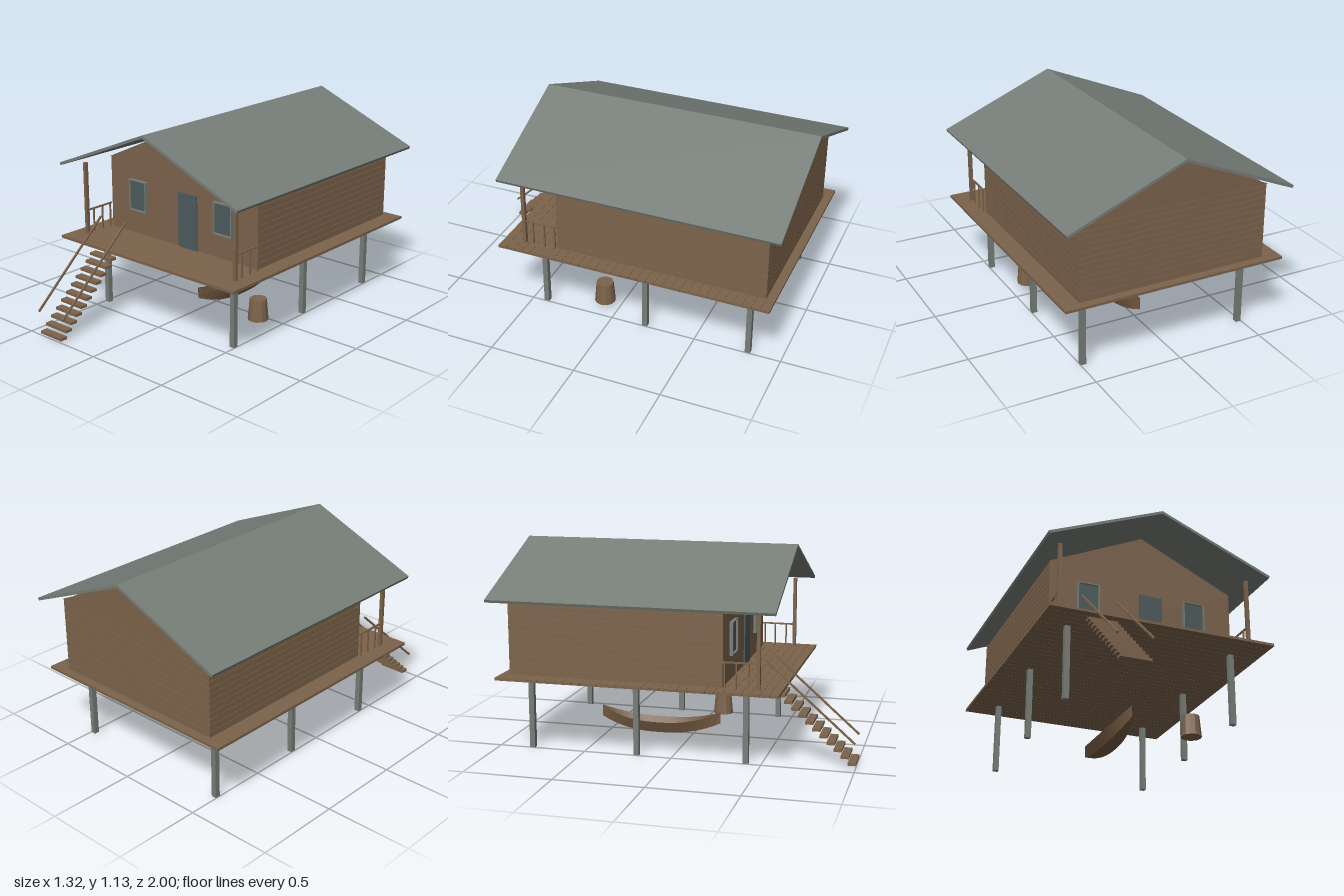
import * as THREE from 'three';

export function createModel() {
  const root = new THREE.Group();
  const mat = (name, color, side = THREE.FrontSide) => {
    const m = new THREE.MeshStandardMaterial({ color, side });
    m.name = name;
    return m;
  };
  const wood = mat('wood', 0x7c634b);
  const grey = mat('grey metal', 0x767d77);
  const glass = mat('dark teal', 0x4b5a5b);
  const shell = mat('hull wood', 0x745a42, THREE.DoubleSide);

  const add = (name, geo, material, parent = root) => {
    const mesh = new THREE.Mesh(geo, material);
    mesh.name = name;
    parent.add(mesh);
    return mesh;
  };
  // Box given by its extents on each axis
  const box = (name, x0, x1, y0, y1, z0, z1, material = wood, parent = root) => {
    const m = add(name, new THREE.BoxGeometry(x1 - x0, y1 - y0, z1 - z0), material, parent);
    m.position.set((x0 + x1) / 2, (y0 + y1) / 2, (z0 + z1) / 2);
    return m;
  };
  const group = (name) => {
    const g = new THREE.Group();
    g.name = name;
    root.add(g);
    return g;
  };
  // Outline in x and y, extruded along z
  const extrude = (name, pts, z0, z1, material) => {
    const shape = new THREE.Shape(pts.map(([x, y]) => new THREE.Vector2(x, y)));
    const geo = new THREE.ExtrudeGeometry(shape, { depth: z1 - z0, bevelEnabled: false });
    return add(name, geo.translate(0, 0, z0), material);
  };

  // Deck boards
  const deck = group('deck');
  const boards = 32, pitch = 1.58 / boards;
  for (let i = 0; i < boards; i++) {
    const z = -0.96 + i * pitch;
    box('deckBoard', -0.65, 0.65, 0.415, 0.43, z, z + pitch - 0.0015, wood, deck);
  }

  // Stilts
  const stilts = group('stilts');
  for (const x of [-0.483, 0.483])
    for (const z of [0.415, -0.2, -0.81])
      box('stilt', x - 0.015, x + 0.015, 0, 0.415, z - 0.015, z + 0.015, grey, stilts);

  // Plain front wall, boarded side and back walls
  box('frontWall', -0.55, 0.55, 0.43, 0.855, 0.288, 0.3);
  const siding = group('siding');
  const rows = 12, rowHeight = 0.425 / rows;
  for (let i = 0; i < rows; i++) {
    const y0 = 0.43 + i * rowHeight, y1 = y0 + rowHeight - 0.002;
    box('backBoard', -0.55, 0.55, y0, y1, -0.912, -0.9, wood, siding);
    for (const s of [-1, 1])
      box('sideBoard', s * 0.544 - 0.006, s * 0.544 + 0.006, y0, y1, -0.9, 0.288, wood, siding);
  }

  // Gables
  const gable = [[-0.56, 0.855], [0.56, 0.855], [0, 1.118]];
  extrude('frontGable', gable, 0.288, 0.3, wood);
  extrude('backGable', gable, -0.912, -0.9, wood);

  // Pitched roof
  extrude('roof', [
    [0, 1.135], [-0.66, 0.862], [-0.654, 0.847],
    [0, 1.118], [0.654, 0.847], [0.66, 0.862],
  ], -1, 0.6, grey);

  // Door and windows
  box('door', -0.018, 0.12, 0.43, 0.75, 0.3, 0.308, glass);
  for (const x of [-0.325, 0.315]) {
    const w = group('window');
    box('pane', x - 0.06, x + 0.06, 0.574, 0.75, 0.3, 0.308, glass, w);
    for (const s of [-1, 1])
      box('windowSide', x + s * 0.062 - 0.004, x + s * 0.062 + 0.004, 0.568, 0.754, 0.3, 0.32, grey, w);
    box('sill', x - 0.058, x + 0.058, 0.568, 0.576, 0.3, 0.32, grey, w);
    box('lintel', x - 0.058, x + 0.058, 0.748, 0.754, 0.3, 0.32, grey, w);
  }

  // Porch posts and side railings
  for (const s of [-1, 1]) {
    const porch = group('porchSide');
    const x = s * 0.56;
    box('porchPost', x - 0.01, x + 0.01, 0.43, 0.858, 0.485, 0.505, wood, porch);
    box('railing', x - 0.004, x + 0.004, 0.566, 0.575, 0.3, 0.485, wood, porch);
    for (const z of [0.312, 0.375, 0.443])
      box('baluster', x - 0.004, x + 0.004, 0.43, 0.568, z - 0.004, z + 0.004, wood, porch);
  }

  // Stairs with two sloping handrails
  const stairs = group('stairs');
  for (let i = 0; i < 12; i++) {
    const y = 0.018 + i * 0.0353, z = 0.978 - i * 0.0388;
    box('tread', -0.42, -0.255, y - 0.008, y + 0.008, z - 0.022, z + 0.022, wood, stairs);
  }
  const dy = 0.43, dz = -0.49;
  for (const x of [-0.434, -0.24]) {
    const rail = add('handrail', new THREE.BoxGeometry(0.01, 0.01, Math.hypot(dy, dz)), wood, stairs);
    rail.position.set(x, 0.35, 0.75);
    rail.rotation.x = Math.atan2(dy, -dz);
  }

  // Canoe: open hull, lofted from five-sided sections
  const steps = 20, pos = [], idx = [];
  for (let i = 0; i <= steps; i++) {
    const t = (i / steps) * 2 - 1;
    const bend = Math.abs(t) ** 2.4;
    const taper = 1 - bend * 0.96, rise = bend * 0.066;
    const section = [[-0.07, 0.07], [-0.043, 0.004], [0.043, 0.004], [0.07, 0.07]];
    for (const [x, y] of section) pos.push(x * taper, y + rise, -0.2 + t * 0.36);
    if (i < steps)
      for (let k = 0; k < 3; k++) {
        const a = i * 4 + k, b = a + 4;
        idx.push(a, a + 1, b, a + 1, b + 1, b);
      }
  }
  let hull = new THREE.BufferGeometry();
  hull.setAttribute('position', new THREE.Float32BufferAttribute(pos, 3));
  hull.setIndex(idx);
  hull = hull.toNonIndexed();
  hull.computeVertexNormals();
  add('canoe', hull, shell);

  // Tapered tub
  const tub = new THREE.CylinderGeometry(0.049, 0.06, 0.125, 12).toNonIndexed();
  tub.computeVertexNormals();
  add('tub', tub, wood).position.set(0.39, 0.0925, 0.09);

  return root;
}
